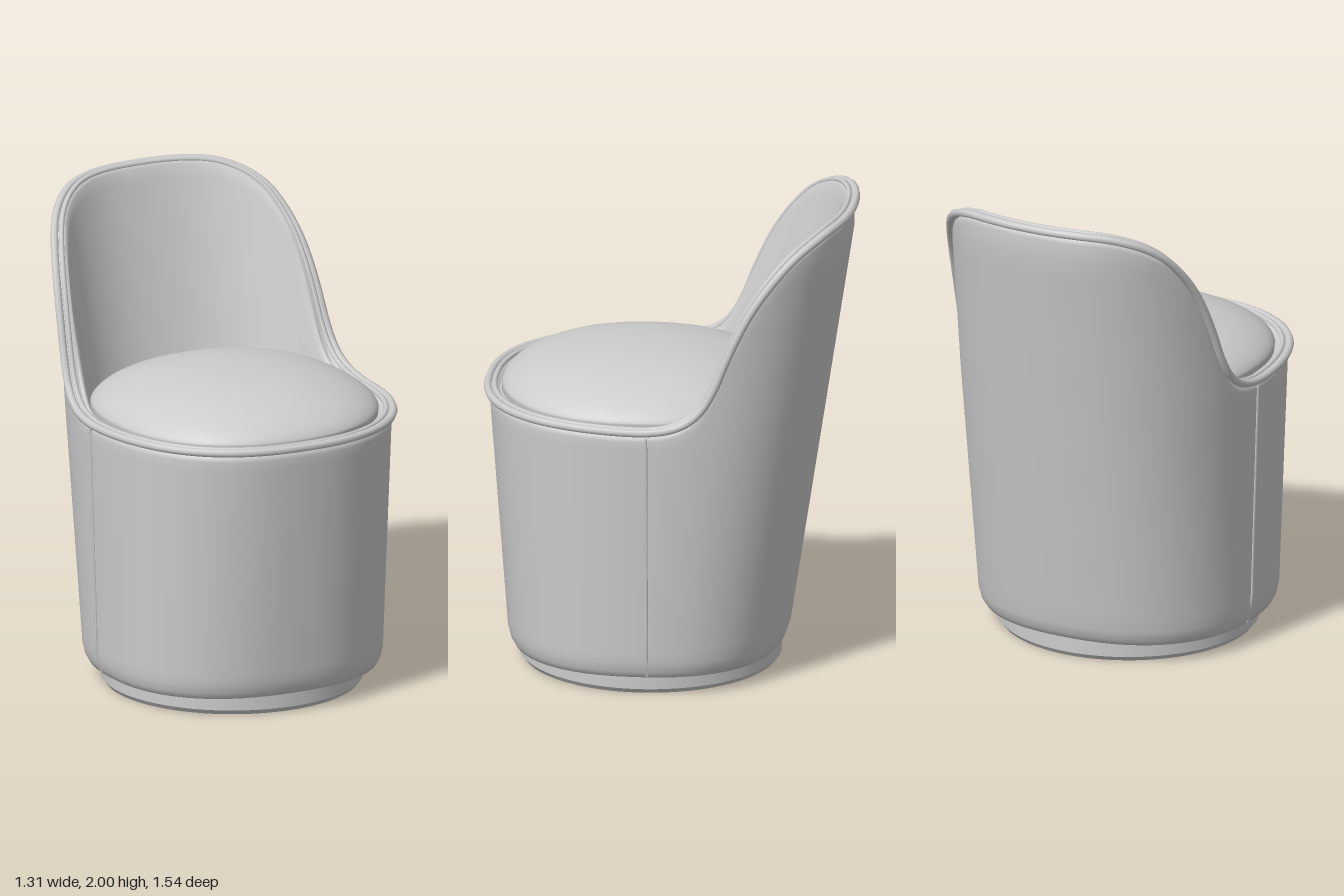
import * as THREE from 'three';

const N = 112; // segments around
const { lerp, clamp } = THREE.MathUtils;

// Rounded oval with half width w, running from zBack to zFront
function oval(a, w, zBack, zFront, n, y) {
  const c = Math.cos(a), s = Math.sin(a), e = 2 / n;
  return new THREE.Vector3(
    w * Math.sign(c) * Math.abs(c) ** e, y,
    (zFront + zBack) / 2 + (zFront - zBack) / 2 * Math.sign(s) * Math.abs(s) ** e);
}

// Outer wall of the tub at a given height; d pushes it out or in
function wall(a, y, d = 0) {
  const t = clamp((y - 0.1) / 1.05, 0, 1);
  const back = -0.49 - 0.153 * (Math.min(y, 1.86) - 0.12);
  return oval(a, lerp(0.597, 0.63, t) + d, back - d, lerp(0.66, 0.74, t) + d, 2.35, y);
}

// Height of the rim along z, sweeping from the low front up to the backrest
const sweep = new THREE.SplineCurve([
  [0.9, 1.172], [0.4, 1.172], [0.1, 1.168], [0, 1.172], [-0.1, 1.195], [-0.18, 1.25], [-0.24, 1.345],
  [-0.3, 1.49], [-0.37, 1.64], [-0.45, 1.765], [-0.55, 1.88], [-0.65, 1.95], [-0.74, 1.98], [-0.9, 1.983],
].map(([z, y]) => new THREE.Vector2(z, y))).getPoints(260);

function sweepHeight(z) {
  const i = clamp(sweep.findIndex(p => p.x <= z), 1, sweep.length - 1);
  const p = sweep[i - 1], q = sweep[i];
  return lerp(p.y, q.y, clamp((z - p.x) / (q.x - p.x), 0, 1));
}

function rimHeight(a) {
  let y = 1.5;
  for (let k = 0; k < 30; k++) y = lerp(y, sweepHeight(wall(a, y).z), 0.7);
  return y;
}
const angles = Array.from({ length: N }, (_, i) => i / N * Math.PI * 2);
const rim = angles.map(rimHeight);

// Skin over closed rings; each ring is a function of angle and rim height
function loft(rings) {
  const pos = [], idx = [];
  for (const ring of rings) angles.forEach((a, i) => pos.push(...ring(a, rim[i]).toArray()));
  for (let j = 0; j < rings.length - 1; j++) {
    for (let i = 0; i < N; i++) {
      const p = j * N + i, q = j * N + (i + 1) % N;
      idx.push(p, p + N, q, q, p + N, q + N);
    }
  }
  const g = new THREE.BufferGeometry();
  g.setAttribute('position', new THREE.Float32BufferAttribute(pos, 3));
  g.setIndex(idx);
  g.computeVertexNormals();
  return g;
}

const seatEdge = (a, r, y) => {
  const p = oval(a, 0.575 * r, -0.59 * r, 0.59 * r, 2.2, y);
  p.z += 0.1;
  return p;
};

export function createModel() {
  const model = new THREE.Group();
  const fabric = new THREE.MeshStandardMaterial({ color: 0xcccccc, side: THREE.DoubleSide });
  fabric.name = 'grey fabric';
  const add = (name, geometry) => {
    const m = new THREE.Mesh(geometry, fabric);
    m.name = name;
    model.add(m);
    return m;
  };

  // Plinth
  add('plinth', new THREE.CylinderGeometry(0.54, 0.54, 0.08, 80)).position.set(0, 0.06, 0.08);
  add('plinthFoot', new THREE.CylinderGeometry(0.54, 0.525, 0.02, 80)).position.set(0, 0.01, 0.08);

  // Outer upholstery with rounded lower and upper edges
  const outer = [
    a => wall(a, 0.08, -0.12), a => wall(a, 0.08, -0.035), a => wall(a, 0.085, -0.02),
    a => wall(a, 0.11, -0.007),
  ];
  for (let k = 0; k <= 24; k++) outer.push((a, h) => wall(a, lerp(0.15, h - 0.045, k / 24)));
  outer.push((a, h) => wall(a, h - 0.028, -0.005), (a, h) => wall(a, h - 0.016, -0.016));
  add('outerShell', loft(outer));

  // Rim and inner face of the backrest, leaning in to the seat
  const inner = [(a, h) => wall(a, h - 0.01, 0.005), (a, h) => wall(a, h + 0.006, -0.012),
    (a, h) => wall(a, h, -0.03)];
  for (let k = 0; k <= 16; k++) {
    inner.push((a, h) => {
      const t = k / 16;
      const p = wall(a, h - 0.012, -0.043).lerp(seatEdge(a, 1, 1.16), t);
      return p;
    });
  }
  add('innerBack', loft(inner));

  // Domed seat cushion
  const dome = [a => seatEdge(a, 0.99, 1.12)];
  for (let k = 0; k <= 18; k++) {
    const r = Math.cos(k / 18 * Math.PI / 2);
    dome.push(a => seatEdge(a, r, 1.18 + 0.167 * Math.max(0, 1 - r ** 2.2) ** 0.65));
  }
  add('seatCushion', loft(dome));

  // Twin piping around the rim
  const piping = (name, d, dy, radius) => {
    const path = new THREE.CatmullRomCurve3(angles.map((a, i) => {
      const p = wall(a, rim[i], d);
      p.y += dy;
      return p;
    }), true);
    add(name, new THREE.TubeGeometry(path, 220, radius, 8, true));
  };
  piping('outerPiping', 0.006, -0.002, 0.017);
  piping('innerPiping', -0.022, 0.004, 0.011);

  // Side seams between front panel and back panel
  for (const side of [1, -1]) {
    const points = [];
    for (let k = 0; k <= 10; k++) {
      const y = lerp(0.09, 1.14, k / 10);
      const p = wall(0, y, k === 0 ? -0.018 : 0.001);
      points.push(new THREE.Vector3(side * p.x, y, 0.03));
    }
    add(side > 0 ? 'leftSeam' : 'rightSeam',
      new THREE.TubeGeometry(new THREE.CatmullRomCurve3(points), 30, 0.006, 6));
  }
  return model;
}
